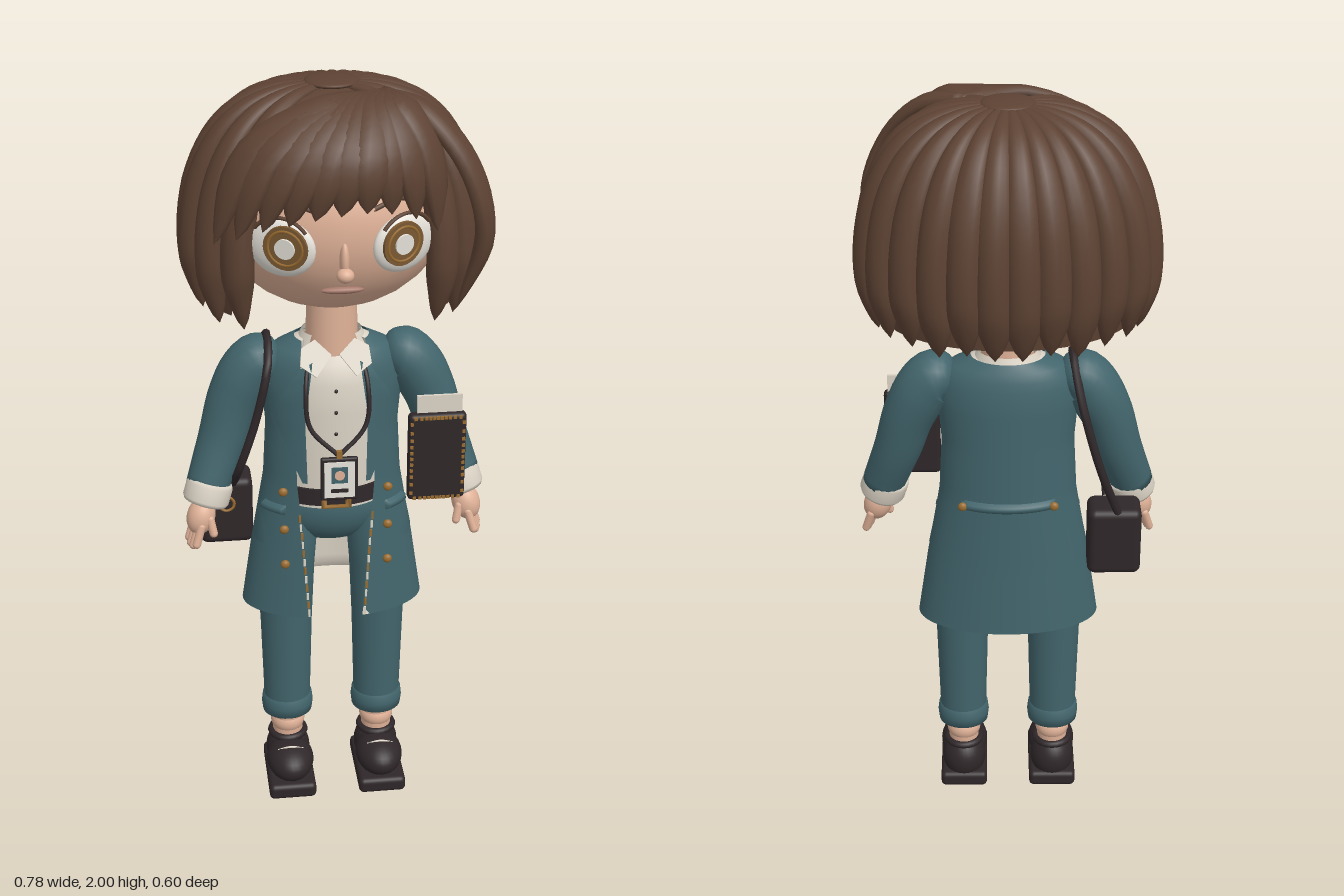
import * as THREE from 'three';
import { RoundedBoxGeometry } from 'three/addons/geometries/RoundedBoxGeometry.js';

const V = (x, y, z) => new THREE.Vector3(x, y, z);
const pts2 = (rows) => rows.map((q) => new THREE.Vector2(...q));
const { lerp, clamp, degToRad } = THREE.MathUtils;
const mat = (name, color, side = THREE.FrontSide) => {
  const m = new THREE.MeshStandardMaterial({ color, side });
  m.name = name;
  return m;
};

// Piecewise-linear lookup in rows of [key, value, value...]
function lookup(rows, k, col = 1) {
  let i = 1;
  while (i < rows.length - 1 && rows[i][0] < k) i++;
  const [a, b] = [rows[i - 1], rows[i]];
  return lerp(a[col], b[col], clamp((k - a[0]) / (b[0] - a[0]), 0, 1));
}

// Surface from f(u, v); it faces du x dv
function grid(nu, nv, f, wrap = false) {
  const pos = [], idx = [], w = wrap ? nu : nu + 1;
  for (let j = 0; j <= nv; j++) for (let i = 0; i < w; i++) pos.push(...f(i / nu, j / nv).toArray());
  for (let j = 0; j < nv; j++) for (let i = 0; i < nu; i++) {
    const a = j * w + i, b = j * w + (i + 1) % w;
    idx.push(a, b, b + w, a, b + w, a + w);
  }
  const g = new THREE.BufferGeometry();
  g.setAttribute('position', new THREE.Float32BufferAttribute(pos, 3));
  g.setIndex(idx);
  g.computeVertexNormals();
  return g;
}

// Elliptical cross-section swept along a curve, broad side facing away from the centre
function sweep(points, wide, thick, centre, nv = 18, nu = 10) {
  const c = new THREE.CatmullRomCurve3(points);
  return grid(nu, nv + 2, (u, v) => {
    const j = Math.round(v * (nv + 2)), t = clamp((j - 1) / nv, 0, 1);
    const p = c.getPoint(t), T = c.getTangent(t), N = p.clone().sub(centre);
    N.addScaledVector(T, -N.dot(T)).normalize();
    const S = N.clone().cross(T), k = j === 0 || j === nv + 2 ? 0 : 1, a = u * Math.PI * 2;
    return p.addScaledVector(S, k * wide(t) * Math.cos(a)).addScaledVector(N, k * thick(t) * Math.sin(a));
  }, true);
}

export function createModel() {
  const root = new THREE.Group();
  const hair = mat('hair brown', 0x5d4233, THREE.DoubleSide), skin = mat('skin', 0xdfb197);
  const teal = mat('teal cloth', 0x42656c, THREE.DoubleSide), cream = mat('cream cloth', 0xdcd4c6, THREE.DoubleSide);
  const leather = mat('dark leather', 0x2f2729), gold = mat('gold', 0x9a6c30);
  const iris = mat('iris brown', 0x7d5a34), white = mat('eye white', 0xe9e5dd), lip = mat('lip', 0xa5786a);
  const add = (name, geo, m, x = 0, y = 0, z = 0, parent = root) => {
    const o = new THREE.Mesh(geo, m);
    o.name = name;
    o.position.set(x, y, z);
    parent.add(o);
    return o;
  };
  const ball = (name, m, r, p, parent = root) => {
    const o = add(name, new THREE.SphereGeometry(1, 28, 18), m, ...p, parent);
    o.scale.set(...r);
    return o;
  };
  const tube = (name, pts, r, m) => add(name, new THREE.TubeGeometry(new THREE.CatmullRomCurve3(pts), 28, r, 8), m);
  const disc = (r, d) => new THREE.CylinderGeometry(r, r, d, 28).rotateX(Math.PI / 2);

  // Head and neck
  const HC = V(0, 1.68, 0.012), [ha, hb, hc] = [0.29, 0.25, 0.254];
  const face = (x, y) => V(x, y, HC.z + hc * Math.sqrt(1 - (x / ha) ** 2 - ((y - HC.y) / hb) ** 2));
  ball('head', skin, [ha, hb, hc], HC.toArray());
  add('neck', new THREE.CylinderGeometry(0.062, 0.068, 0.2, 28), skin, 0, 1.39, 0.005);
  ball('noseTip', skin, [0.021, 0.018, 0.02], [0, 1.6, 0.28]);
  ball('noseBridge', skin, [0.012, 0.045, 0.02], [0, 1.63, 0.262]);
  const mouth = ball('mouth', lip, [0.052, 0.009, 0.012], face(0, 1.543).toArray());
  mouth.position.z += 0.002;
  for (const s of [-1, 1]) {
    ball('ear', skin, [0.035, 0.055, 0.035], [s * 0.3, 1.61, -0.01]);
    // Eye layers turned to the face surface
    const p = face(s * 0.143, 1.665), eye = new THREE.Group(), ix = s * -0.018;
    eye.name = 'eye';
    eye.position.copy(p);
    eye.lookAt(p.clone().add(V(p.x / ha ** 2, (p.y - HC.y) / hb ** 2, (p.z - HC.z) / hc ** 2)));
    root.add(eye);
    ball('eyeball', white, [0.084, 0.073, 0.026], [0, -0.006, 0], eye);
    add('iris', disc(0.055, 0.008), iris, ix, 0.004, 0.024, eye);
    add('irisGlow', new THREE.TorusGeometry(0.043, 0.004, 6, 28), gold, ix, 0.004, 0.027, eye);
    add('highlight', disc(0.025, 0.006), white, ix, 0.004, 0.03, eye);
    add('upperLash', new THREE.TorusGeometry(0.078, 0.005, 6, 24, 1.9), hair, 0, -0.006, 0.01, eye).rotation.z = 0.62;
    tube('eyebrow', [0.07, 0.13, 0.19].map((x, i) => face(s * x, [1.75, 1.765, 1.75][i]).add(V(0, 0, 0.004))), 0.006, hair);
  }

  // Hair: inner cap, radial locks, swept fringe
  const prof = new THREE.SplineCurve(pts2([[0.12, 1.98], [0.45, 1.96], [0.72, 1.9], [0.9, 1.795], [0.99, 1.66], [0.99, 1.55], [0.94, 1.425]]));
  const rx = 0.346, rz = 0.268;
  const scalp = (phi, t, k = 1) => {
    const q = prof.getPoint(t);
    return V(rx * k * q.x * Math.sin(phi), q.y, rz * k * q.x * Math.cos(phi));
  };
  add('hairCap', grid(72, 16, (u, v) => {
    const phi = u * Math.PI * 2, front = clamp((Math.cos(phi) - 0.62) / 0.12, 0, 1);
    return scalp(phi, (1 - v) * lerp(0.95, 0.52, front), lerp(0.96, 1.03, front));
  }, true), hair);
  ball('crown', hair, [0.066, 0.012, 0.066], [0, 1.986, 0]);
  const tip = (t, from) => t < from ? 1 : Math.pow(Math.max(0, 1 - (t - from) / (1 - from)), 0.65);
  for (let k = 0; k < 18; k++) {
    const deg = degToRad(52.5 + 15 * k), phi = Math.atan2(Math.sin(deg) / rx, Math.cos(deg) / rz);
    const len = 0.985 + 0.015 * Math.sin(k * 2.4), from = Math.cos(phi) > 0.1 ? 0.8 : 0.88;
    const pts = Array.from({ length: 9 }, (_, i) => scalp(phi, i / 8 * len));
    add('hairLock', sweep(pts, (t) => 0.044 * Math.min(1, 0.26 + 1.5 * t) * tip(t, from),
      (t) => 0.038 * Math.min(1, 0.25 + 1.3 * t) * tip(t, 0.84), HC, 28, 14), hair);
  }
  const part = V(0.11, 1.965, 0.07);
  const fringe = [[-0.3, 1.66, 0.2], [-0.25, 1.68, 0.235], [-0.19, 1.705, 0.255], [-0.13, 1.72, 0.268], [-0.07, 1.735, 0.278],
    [-0.01, 1.745, 0.283], [0.05, 1.75, 0.283], [0.11, 1.74, 0.265], [0.17, 1.72, 0.248], [0.23, 1.67, 0.22]];
  for (const [x, y, z] of fringe) {
    const pts = [part, V(lerp(0.11, x, 0.35), 1.962, 0.155), V(lerp(0.11, x, 0.78), 1.875, z * 0.93), V(x, y, z)];
    add('fringeLock', sweep(pts, (t) => 0.046 * Math.min(1, 0.3 + 2 * t) * tip(t, 0.8), (t) => 0.02 * tip(t, 0.85), HC), hair);
  }
  add('sideFlop', sweep([part, V(0.2, 1.945, 0.13), V(0.3, 1.83, 0.185), V(0.345, 1.66, 0.195), V(0.29, 1.46, 0.165)],
    (t) => 0.045 * Math.min(1, 0.3 + 2 * t) * tip(t, 0.65), (t) => 0.023 * tip(t, 0.8), HC, 24), hair);

  // Coat: open shell with a cream lining; rows are height, half width, half depth
  const rows = [[0.57, 0.242, 0.135], [0.75, 0.215, 0.125], [0.95, 0.18, 0.117], [1.1, 0.172, 0.112], [1.22, 0.182, 0.108],
    [1.28, 0.175, 0.1], [1.315, 0.145, 0.088], [1.335, 0.095, 0.075]];
  const gap = [[0.57, 0.068], [0.8, 0.085], [0.95, 0.1], [1.15, 0.105], [1.335, 0.08]];
  const coat = (th, y, off = 0) => V((lookup(rows, y) + off) * Math.sin(th), y, 0.003 + (lookup(rows, y, 2) + off) * Math.cos(th));
  const edge = (y) => Math.asin(lookup(gap, y) / lookup(rows, y));
  const shell = (u, v, off) => {
    const y = lerp(0.57, 1.335, v), e = edge(y);
    return coat(lerp(e, Math.PI * 2 - e, u), y, off);
  };
  add('coat', grid(64, 34, (u, v) => shell(u, v, 0)), teal);
  add('coatLining', grid(64, 34, (u, v) => shell(u, 1 - v, u < 0.001 || u > 0.999 || v > 0.999 ? 0 : -0.012)), cream);
  const band = (name, th, half, y, h, m) => add(name, grid(16, 4, (u, v) =>
    coat(th + half * (2 * u - 1), y + h * (v - 0.5), v === 0 || v === 1 || u === 0 || u === 1 ? 0 : 0.011)), m);
  band('backTab', Math.PI, 0.75, 0.945, 0.028, teal);
  const button = (th, y) => ball('coatButton', gold, [0.012, 0.012, 0.009], coat(th, y, 0.012).toArray());
  for (const s of [-1, 1]) {
    button(Math.PI + s * 0.66, 0.945);
    for (const y of [0.935, 0.83, 0.73]) button(s * Math.asin(0.128 / lookup(rows, y)), y);
    band('pocketFlap', s * 1.0, 0.26, 0.878, 0.028, teal);
    // Stitched front edge
    for (let i = 0; i < 12; i++) {
      const y = 0.585 + i * 0.025;
      add('edgeStitch', new THREE.BoxGeometry(0.006, 0.02, 0.005), i % 2 ? gold : cream, ...coat(s * (edge(y) + 0.02), y, 0.001).toArray());
    }
    add('lapel', grid(8, 16, (u, v) => {
      const y = lerp(0.97, 1.3, v), x = lookup(gap, y) - 0.025 + u * lookup([[0, 0.012], [0.6, 0.09], [0.66, 0.055], [0.72, 0.075], [1, 0.03]], v);
      const a = lookup(rows, y), d = lookup(rows, y, 2);
      return V(s * x, y - 0.02 * u * v, 0.017 + d * Math.sqrt(Math.max(0, 1 - (x / a) ** 2)));
    }), teal);
  }

  // Shirt, collar and belt
  const shirt = new THREE.LatheGeometry(pts2([[0.14, 0.88], [0.143, 1], [0.15, 1.15], [0.148, 1.23], [0.125, 1.28], [0.085, 1.32], [0.07, 1.335]]), 40);
  add('shirt', shirt.scale(1, 1, 0.7), cream);
  const collar = add('shirtCollar', new THREE.CylinderGeometry(0.076, 0.1, 0.05, 36, 1, true, 0.8, Math.PI * 2 - 1.6), cream, 0, 1.325, 0);
  collar.scale.z = 0.85;
  for (const s of [-1, 1]) {
    const flap = new THREE.Shape(pts2([[0.01, 1.305], [0.05, 1.345], [0.085, 1.325], [0.09, 1.28], [0.05, 1.25]].map(([x, y]) => [s * x, y])));
    add('collarPoint', new THREE.ExtrudeGeometry(flap, { depth: 0.008, bevelEnabled: false }).translate(0, -1.35, 0).rotateX(-0.5), cream, 0, 1.35, 0.062);
  }
  for (const y of [1.1, 1.16, 1.22]) ball('shirtButton', leather, [0.005, 0.005, 0.004], [0, y, 0.106]);
  add('belt', new THREE.CylinderGeometry(0.15, 0.152, 0.045, 40).scale(1, 1, 0.71), leather, 0, 0.915, 0);
  add('buckle', new THREE.TorusGeometry(0.03, 0.007, 6, 4).rotateZ(Math.PI / 4).scale(1.5, 1, 1), gold, 0, 0.915, 0.112);

  // Trousers, ankles and shoes
  ball('hips', teal, [0.155, 0.115, 0.09], [0, 0.86, 0]);
  for (const s of [-1, 1]) {
    const x = s * 0.125;
    add('trouserLeg', new THREE.LatheGeometry(pts2([[0.063, 0.23], [0.07, 0.5], [0.078, 0.68], [0.086, 0.78], [0.07, 0.86]]), 32).scale(1, 1, 0.92), teal, x, 0, 0.008);
    add('trouserTurnUp', new THREE.LatheGeometry(pts2([[0.05, 0.2], [0.068, 0.204], [0.071, 0.23], [0.068, 0.255], [0.06, 0.258]]), 32).scale(1, 1, 0.92), teal, x, 0, 0.008);
    add('ankle', new THREE.CylinderGeometry(0.044, 0.04, 0.14, 24), skin, x, 0.155, 0.012);
    ball('ankleBone', skin, [0.047, 0.04, 0.047], [x, 0.17, 0.012]);
    add('shoeSole', new RoundedBoxGeometry(0.13, 0.045, 0.225, 3, 0.014), leather, x, 0.0225, 0.055);
    ball('shoeToe', leather, [0.065, 0.052, 0.088], [x, 0.078, 0.077]);
    ball('shoeHeel', leather, [0.061, 0.07, 0.066], [x, 0.072, 0.008]);
    add('shoeOpening', new THREE.TorusGeometry(0.046, 0.01, 8, 24).rotateX(Math.PI / 2), leather, x, 0.13, 0.012);
    tube('shoeStitch', [V(x - 0.035, 0.118, 0.095), V(x, 0.129, 0.1), V(x + 0.035, 0.118, 0.095)], 0.003, cream);
  }

  // Sleeves, cuffs and hands
  for (const s of [-1, 1]) {
    const P = (x, y, z) => V(s * x, y, z);
    const r = (t) => lookup([[0, 0.03], [0.1, 0.058], [0.22, 0.072], [0.4, 0.073], [0.6, 0.066], [1, 0.056]], t);
    add('sleeve', sweep([P(0.13, 1.275, 0), P(0.19, 1.268, 0.003), P(0.248, 1.18, 0.006), P(0.287, 1.06, 0.02), P(0.33, 0.94, 0.05)],
      r, r, V(s * -1, 0.4, 0), 24, 20), teal);
    const hand = new THREE.Group();
    hand.name = 'forearmEnd';
    hand.position.copy(P(0.328, 0.93, 0.055));
    hand.rotation.set(-0.2, 0, s * 0.3);
    root.add(hand);
    add('sleeveCuff', new THREE.LatheGeometry(pts2([[0.03, -0.032], [0.056, -0.03], [0.061, -0.02], [0.061, 0.02], [0.056, 0.03], [0.03, 0.032]]), 28), cream, 0, 0, 0, hand);
    ball('palm', skin, [0.037, 0.05, 0.037], [0, -0.07, 0], hand);
    for (let i = 0; i < 4; i++)
      add('finger', new THREE.CapsuleGeometry(0.011, 0.05, 4, 10), skin, s * (0.012 - i * 0.006), -0.128 + Math.abs(i - 1.5) * 0.008, (i - 1.5) * 0.018, hand);
    add('thumb', new THREE.CapsuleGeometry(0.011, 0.04, 4, 10), skin, s * -0.032, -0.085, 0.022, hand).rotation.z = s * -0.5;
  }

  // Badge on a lanyard
  for (const s of [-1, 1])
    tube('lanyard', [V(s * 0.06, 1.33, 0.06), V(s * 0.078, 1.24, 0.125), V(s * 0.07, 1.14, 0.145), V(0, 1.07, 0.17)], 0.006, leather);
  add('badgeFrame', new RoundedBoxGeometry(0.095, 0.12, 0.014, 2, 0.005), leather, 0, 1.008, 0.172);
  add('badgeCard', new THREE.BoxGeometry(0.078, 0.1, 0.004), white, 0, 1.008, 0.18);
  add('badgePhoto', new THREE.BoxGeometry(0.042, 0.045, 0.004), teal, 0, 1.022, 0.182);
  add('badgePortrait', disc(0.013, 0.004), skin, 0, 1.022, 0.184);
  add('badgeStripe', new THREE.BoxGeometry(0.045, 0.01, 0.004), leather, 0, 0.978, 0.182);
  add('badgeClip', new THREE.BoxGeometry(0.014, 0.022, 0.012), gold, 0, 1.075, 0.172);

  // Notebook with stitched edge and loose papers
  const book = new THREE.Group();
  book.name = 'notebook';
  book.position.set(0.253, 1.043, 0.14);
  root.add(book);
  add('notebookCover', new RoundedBoxGeometry(0.148, 0.242, 0.034, 3, 0.012), leather, 0, 0, 0, book);
  add('papers', new THREE.BoxGeometry(0.115, 0.14, 0.008), cream, 0.006, 0.098, -0.004, book);
  for (let i = 0; i < 44; i++) {
    const a = i / 44 * Math.PI * 2, c = Math.cos(a), q = Math.sin(a), k = 1 / Math.max(Math.abs(c), Math.abs(q));
    add('stitch', new THREE.BoxGeometry(0.008, 0.008, 0.006), gold, c * k * 0.066, q * k * 0.113, 0.017, book);
  }

  // Shoulder bag
  add('bag', new RoundedBoxGeometry(0.14, 0.19, 0.105, 3, 0.02), leather, -0.278, 0.832, -0.05);
  add('bagClasp', new THREE.TorusGeometry(0.02, 0.004, 6, 20), gold, -0.278, 0.86, 0.006);
  tube('bagStrap', [V(-0.285, 0.92, -0.09), V(-0.235, 1.06, -0.112), V(-0.185, 1.24, -0.085), V(-0.165, 1.338, -0.01),
    V(-0.17, 1.29, 0.085), V(-0.205, 1.14, 0.1), V(-0.25, 1.0, 0.09), V(-0.26, 0.92, 0.0)], 0.011, leather);
  return root;
}
